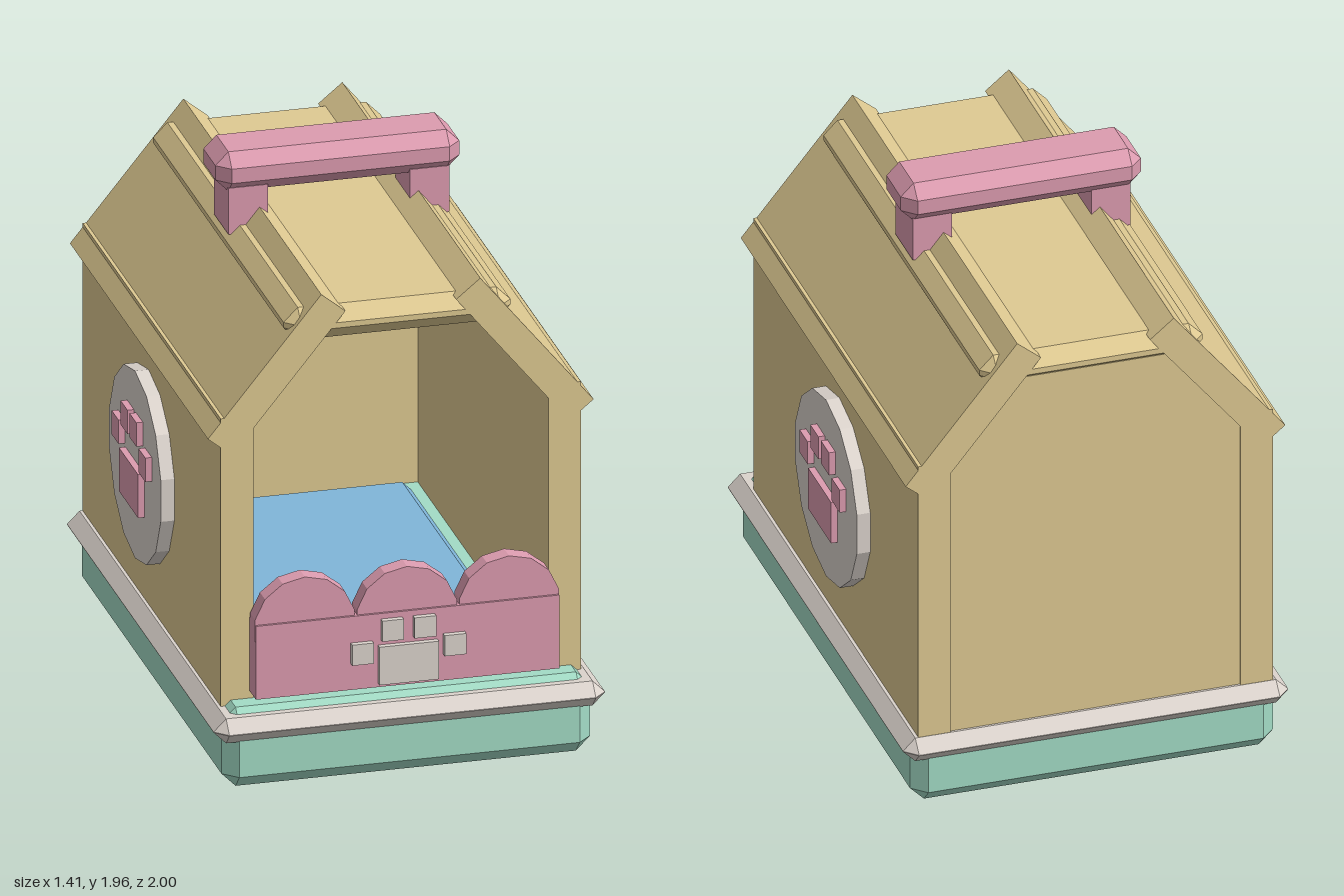
import * as THREE from 'three';
import { ConvexGeometry } from 'three/addons/geometries/ConvexGeometry.js';

const paint = (name, color) => {
  const m = new THREE.MeshStandardMaterial({ color });
  m.name = name;
  return m;
};

// Box given by its min/max on each axis; bevel > 0 chamfers every edge and corner
function blockGeometry([x0, x1], [y0, y1], [z0, z1], bevel = 0) {
  const half = [(x1 - x0) / 2, (y1 - y0) / 2, (z1 - z0) / 2];
  let geo;
  if (bevel === 0) {
    geo = new THREE.BoxGeometry(half[0] * 2, half[1] * 2, half[2] * 2);
  } else {
    const points = [];
    for (const sx of [-1, 1]) for (const sy of [-1, 1]) for (const sz of [-1, 1]) {
      for (let axis = 0; axis < 3; axis++) {
        const h = half.map((v, i) => (i === axis ? v : v - bevel));
        points.push(new THREE.Vector3(sx * h[0], sy * h[1], sz * h[2]));
      }
    }
    geo = new ConvexGeometry(points);
  }
  return geo.translate((x0 + x1) / 2, (y0 + y1) / 2, (z0 + z1) / 2);
}

// Paw print lying in the xy plane, raised along +z from its origin
function pawPrint(material, depth, { padW, padH, padY, toe, toes }) {
  const paw = new THREE.Group();
  paw.name = 'pawPrint';
  const add = (name, w, h, x, y) => {
    const mesh = new THREE.Mesh(new THREE.BoxGeometry(w, h, depth), material);
    mesh.position.set(x, y, depth / 2);
    mesh.name = name;
    paw.add(mesh);
  };
  add('pawPad', padW, padH, 0, padY);
  for (const [x, y] of toes) for (const s of [-1, 1]) add('pawToe', toe, toe, s * x, y);
  return paw;
}

export function createModel() {
  const tan = paint('tan shell', 0xdfca92);
  const pink = paint('pink trim', 0xdd9cb0);
  const mint = paint('mint tray', 0xa3dcc6);
  const grey = paint('warm grey', 0xdcd4cd);
  const blue = paint('blue filling', 0x80b6da);

  const model = new THREE.Group();
  model.name = 'petHouse';
  const add = (name, geometry, material) => {
    const mesh = new THREE.Mesh(geometry, material);
    mesh.name = name;
    model.add(mesh);
    return mesh;
  };
  const front = 0.845, back = -0.955, depth = front - back;

  // Tray, rim and filling
  add('tray', blockGeometry([-0.65, 0.65], [0, 0.29], [-0.96, 0.96], 0.05), mint);
  add('rim', blockGeometry([-0.69, 0.69], [0.18, 0.27], [-1, 1], 0.044), grey);
  add('filling', blockGeometry([-0.5, 0.5], [0.2, 0.32], [-0.85, 0.8], 0.05), blue);

  // Back wall, set just inside the side walls and roof
  const wall = new THREE.Shape([
    [-0.53, 0.25], [0.53, 0.25], [0.53, 1.29], [0.27, 1.61], [-0.27, 1.61], [-0.53, 1.29],
  ].map(([x, y]) => new THREE.Vector2(x, y)));
  add('backWall', new THREE.ExtrudeGeometry(wall, { depth: 0.09, bevelEnabled: false })
    .translate(0, 0, back + 0.008), tan);

  // Flat roof panel, whose edges poke through the slopes as ridges
  add('roofPanel', blockGeometry([-0.4, 0.4], [1.57, 1.69], [back, front], 0.05), tan);

  for (const side of [-1, 1]) {
    const span = (a, b) => (side > 0 ? [a, b] : [-b, -a]);

    // Side wall and sloping roof slab
    add('sideWall', blockGeometry(span(0.52, 0.635), [0.25, 1.33], [back, front]), tan);
    const slope = add('roofSlope', new THREE.BoxGeometry(0.632, 0.11, depth), tan);
    slope.position.set(side * 0.4375, 1.47, (front + back) / 2);
    slope.rotation.z = -side * Math.atan2(0.49, 0.4);

    // Handle post
    add('handlePost', blockGeometry(span(0.25, 0.39), [1.66, 1.83], [-0.15, 0.04]), pink);

    // Round badge with paw print
    const badge = new THREE.Group();
    badge.name = 'sideBadge';
    const disc = new THREE.Mesh(
      new THREE.CylinderGeometry(0.345, 0.345, 0.06, 14).toNonIndexed(), grey);
    disc.geometry.computeVertexNormals();
    disc.name = 'badgeDisc';
    disc.rotation.x = Math.PI / 2;
    disc.rotation.y = Math.PI;
    disc.position.z = 0.02;
    badge.add(disc);
    const paw = pawPrint(pink, 0.025, {
      padW: 0.25, padH: 0.16, padY: -0.065, toe: 0.088, toes: [[0.175, 0.07], [0.058, 0.153]],
    });
    paw.position.z = 0.048;
    badge.add(paw);
    badge.position.set(side * 0.633, 0.79, -0.095);
    badge.rotation.y = side * Math.PI / 2;
    model.add(badge);
  }

  // Handle grip
  add('handleGrip', blockGeometry([-0.43, 0.43], [1.81, 1.955], [-0.185, 0.063], 0.046), pink);

  // Front fence with three scallops and a paw print
  add('fence', blockGeometry([-0.535, 0.535], [0.32, 0.59], [0.85, 0.935]), pink);
  for (const x of [-0.36, 0, 0.36]) {
    const geo = new THREE.CylinderGeometry(0.18, 0.18, 0.066, 14).toNonIndexed();
    geo.computeVertexNormals();
    geo.rotateX(-Math.PI / 2);
    add('fenceScallop', geo, pink).position.set(x, 0.57, 0.893);
  }
  const frontPaw = pawPrint(grey, 0.025, {
    padW: 0.21, padH: 0.14, padY: 0.405, toe: 0.076, toes: [[0.163, 0.455], [0.057, 0.532]],
  });
  frontPaw.position.z = 0.931;
  model.add(frontPaw);

  return model;
}
